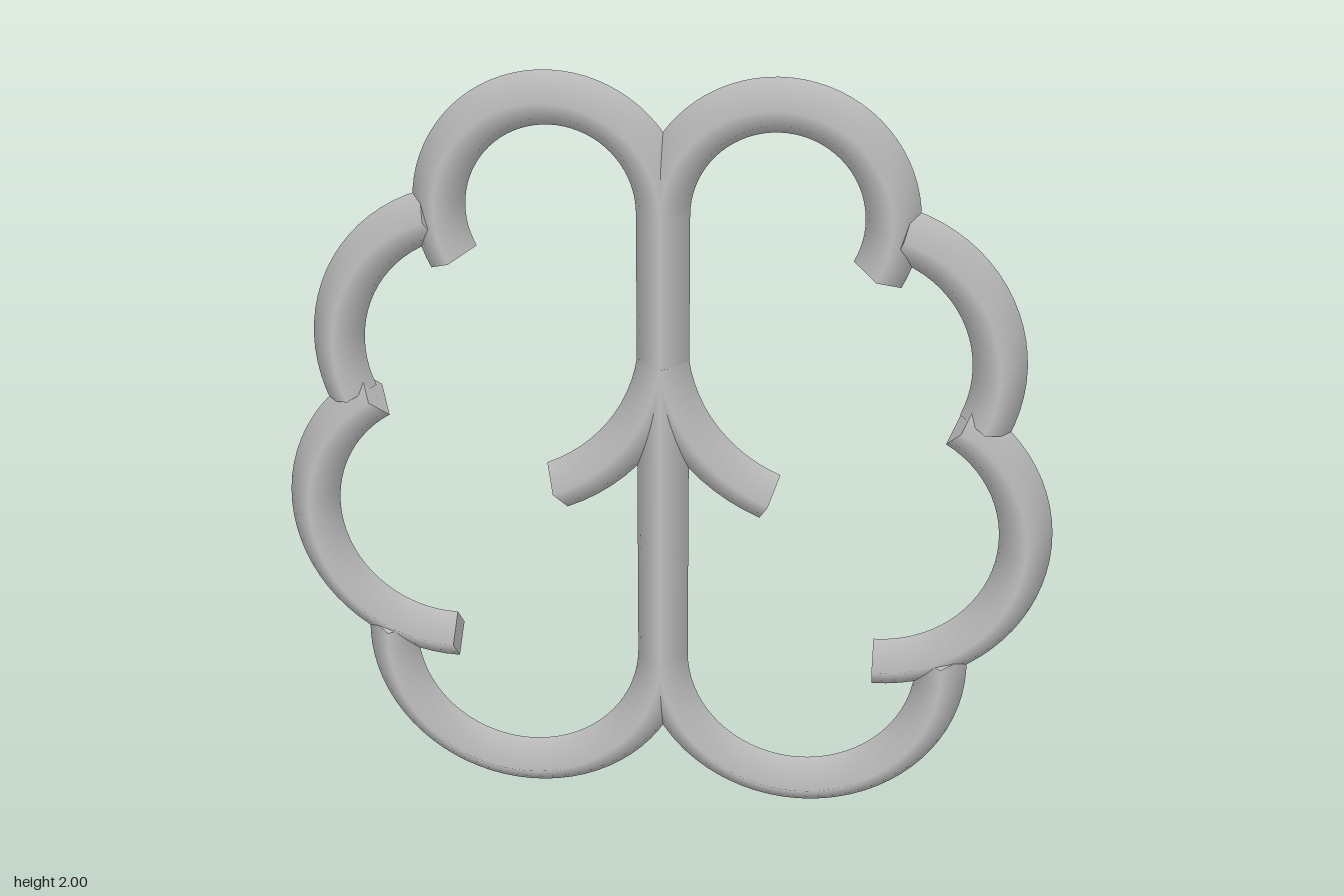
import * as THREE from 'three';

const R = 0.067; // half diagonal of the square bar

// Planar arc in the XY plane; side = 1 or -1 mirrors it across x = 0
class Arc extends THREE.Curve {
  constructor(cx, cy, r, a0, a1, side) {
    super();
    Object.assign(this, { cx, cy, r, a0, a1, side });
  }
  getPoint(t, target = new THREE.Vector3()) {
    const a = THREE.MathUtils.degToRad(this.a0 + (this.a1 - this.a0) * t);
    return target.set(this.side * (this.cx + this.r * Math.cos(a)), this.cy + this.r * Math.sin(a), 0);
  }
}

// Four-sided bar swept along a curve, closed at both ends
function bar(name, curve, segments, material) {
  const group = new THREE.Group();
  group.name = name;
  const tube = new THREE.Mesh(new THREE.TubeGeometry(curve, segments, R, 4, false), material);
  tube.name = name + 'Bar';
  group.add(tube);
  for (const t of [0, 1]) {
    const cap = new THREE.Mesh(new THREE.CircleGeometry(R, 4), material);
    cap.name = name + 'End';
    const p = curve.getPoint(t);
    const dir = curve.getTangent(t).multiplyScalar(t ? 1 : -1);
    cap.position.copy(p);
    cap.lookAt(p.clone().add(dir));
    group.add(cap);
  }
  return group;
}

export function createModel() {
  const model = new THREE.Group();
  model.name = 'lobedOutline';
  const grey = new THREE.MeshStandardMaterial({ color: 0xc0c0c0 });
  grey.name = 'grey';

  // Shared upright in the middle
  const stem = new THREE.LineCurve3(new THREE.Vector3(0, 0.437, 0), new THREE.Vector3(0, 1.653, 0));
  model.add(bar('centreStem', stem, 4, grey));

  // Lobes of one half: name, centre x, centre y, radius, start and end angle
  const lobes = [
    ['topLobe', 0.28, 1.653, 0.28, 180, -28],
    ['upperSideLobe', 0.475, 1.28, 0.363, 72, -23],
    ['lowerSideLobe', 0.56, 0.82, 0.373, 59, -90],
    ['bottomLobe', 0.37, 0.437, 0.37, 180, 365],
    ['innerBranch', 0.453, 1.333, 0.458, 188, 247.5],
  ];
  for (const [label, side] of [['left', 1], ['right', -1]]) {
    const half = new THREE.Group();
    half.name = label + 'Half';
    for (const [name, cx, cy, r, a0, a1] of lobes) {
      const segments = Math.ceil(Math.abs(a1 - a0) / 5);
      half.add(bar(name, new Arc(cx, cy, r, a0, a1, side), segments, grey));
    }
    model.add(half);
  }
  return model;
}
